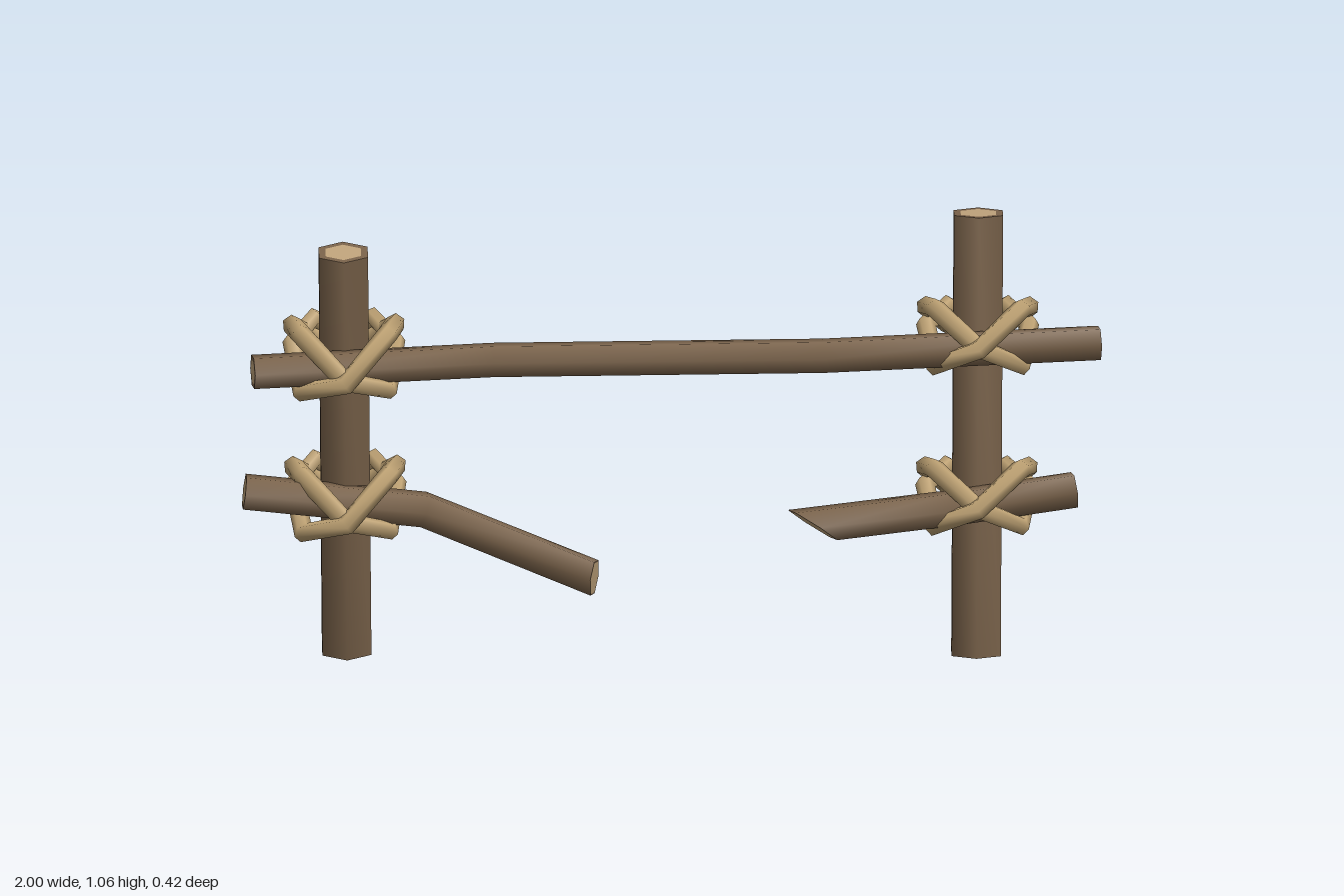
import * as THREE from 'three';

const V = (x, y, z) => new THREE.Vector3(x, y, z);
const SIDES = 6;

const wood = new THREE.MeshStandardMaterial({ color: 0x79624a });
wood.name = 'bark brown';
const cutWood = new THREE.MeshStandardMaterial({ color: 0xbfa37b });
cutWood.name = 'cut wood';
const rope = new THREE.MeshStandardMaterial({ color: 0xbda173 });
rope.name = 'rope tan';

function makeMesh(name, points, index, material) {
  const geo = new THREE.BufferGeometry().setFromPoints(points);
  geo.setIndex(index);
  geo.computeVertexNormals();
  const mesh = new THREE.Mesh(geo, material);
  mesh.name = name;
  return mesh;
}

// End face: a bark rim round a pale core; core = 0 leaves it all bark
function addCap(group, name, ring, centre, flip, core) {
  const inner = ring.map((p) => centre.clone().lerp(p, core));
  const rim = [], disc = [];
  const tri = (list, a, b, c) => list.push(...(flip ? [a, c, b] : [a, b, c]));
  for (let j = 0; j < SIDES; j++) {
    const k = (j + 1) % SIDES;
    tri(rim, j, k, SIDES + j);
    if (core > 0) {
      tri(rim, k, SIDES + k, SIDES + j);
      tri(disc, SIDES, j, k);
    }
  }
  group.add(makeMesh(name + 'Rim', [...ring, ...inner], rim, wood));
  if (core > 0) group.add(makeMesh(name + 'Core', [...inner, centre], disc, cutWood));
}

// Six-sided log swept along a path; slant pushes the last ring into a broken tip
function makeLog(name, path, radius, { startCore = 0.72, endCore = 0.72, slant = V(0, 0, 0) } = {}) {
  const group = new THREE.Group();
  group.name = name;
  const last = path.length - 1;
  const rings = path.map((p, i) => {
    const dir = path[Math.min(i + 1, last)].clone().sub(path[Math.max(i - 1, 0)]).normalize();
    const u = V(0, 0, 1).addScaledVector(dir, -dir.z).normalize();
    const v = dir.clone().cross(u);
    return Array.from({ length: SIDES }, (_, j) => {
      const a = (j / SIDES) * Math.PI * 2;
      const off = u.clone().multiplyScalar(Math.cos(a) * radius).addScaledVector(v, Math.sin(a) * radius);
      if (i === last) off.addScaledVector(dir, off.dot(slant));
      return off.add(p);
    });
  });
  const index = [];
  for (let i = 0; i < last; i++) {
    for (let j = 0; j < SIDES; j++) {
      const a = i * SIDES + j, b = i * SIDES + (j + 1) % SIDES;
      index.push(a, b, a + SIDES, b, b + SIDES, a + SIDES);
    }
  }
  group.add(makeMesh(name + 'Bark', rings.flat(), index, wood));
  addCap(group, name + 'Start', rings[0], path[0], true, startCore);
  addCap(group, name + 'End', rings[last], path[last], false, endCore);
  return group;
}

// One rope loop: rises across the front, drops behind the post
const LOOP = [
  [0, 0, 0.175], [0.1, 0.075, 0.065], [0.12, 0.065, -0.02], [0.07, 0.01, -0.085],
  [0, 0.01, -0.1], [-0.07, 0.055, -0.085], [-0.12, 0.02, -0.02], [-0.1, -0.055, 0.09],
];

// Two mirrored loops cross in front of the rail, aligned with the post
function makeLashing(name, base, top, height, reach) {
  const group = new THREE.Group();
  group.name = name;
  for (const side of [1, -1]) {
    const depth = side > 0 ? reach : reach * 0.92;
    const pts = LOOP.map(([x, y, z]) => V(x * side, y, z > 0 ? z * depth : z));
    const curve = new THREE.CatmullRomCurve3(pts, true);
    // Sample exactly at the points, for crisp rope bends
    curve.getPointAt = curve.getPoint;
    curve.getTangentAt = curve.getTangent;
    const mesh = new THREE.Mesh(new THREE.TubeGeometry(curve, pts.length, 0.024, 6, true), rope);
    mesh.name = name + (side > 0 ? 'RisingLoop' : 'FallingLoop');
    group.add(mesh);
  }
  group.position.lerpVectors(base, top, height / top.y);
  group.quaternion.setFromUnitVectors(V(0, 1, 0), top.clone().sub(base).normalize());
  return group;
}

export function createModel() {
  const model = new THREE.Group();
  model.name = 'brokenFence';

  // Posts with their lashings: [name, base, top, [lashing height, reach]...]
  const posts = [
    ['right', V(-0.757, 0, -0.14), V(-0.768, 0.985, 0.03), [[0.735, 1.12], [0.385, 1.08]]],
    ['left', V(0.708, 0, -0.074), V(0.714, 1.045, -0.1), [[0.755, 1.03], [0.375, 1.03]]],
  ];
  for (const [side, base, top, ties] of posts) {
    model.add(makeLog(side + 'Post', [base, top], 0.066, { startCore: 0 }));
    ties.forEach(([height, reach], i) =>
      model.add(makeLashing(side + (i ? 'Lower' : 'Upper') + 'Lashing', base, top, height, reach)));
  }

  // Long bent upper rail
  model.add(makeLog('upperRail', [
    V(-0.98, 0.715, 0.095), V(-0.42, 0.726, 0.025), V(0.35, 0.738, 0.048), V(0.995, 0.748, -0.035),
  ], 0.042));

  // Snapped lower rail, one piece on each post
  model.add(makeLog('rightLowerRail', [
    V(-0.998, 0.41, 0.005), V(-0.58, 0.362, -0.012), V(-0.18, 0.172, -0.128),
  ], 0.044, { endCore: 0.92, slant: V(0, -0.4, -0.6) }));
  model.add(makeLog('leftLowerRail', [
    V(0.937, 0.398, -0.035), V(0.65, 0.366, 0.012), V(0.325, 0.336, 0.055),
  ], 0.044, { endCore: 0.92, slant: V(0, 1.2, -0.3) }));

  return model;
}
